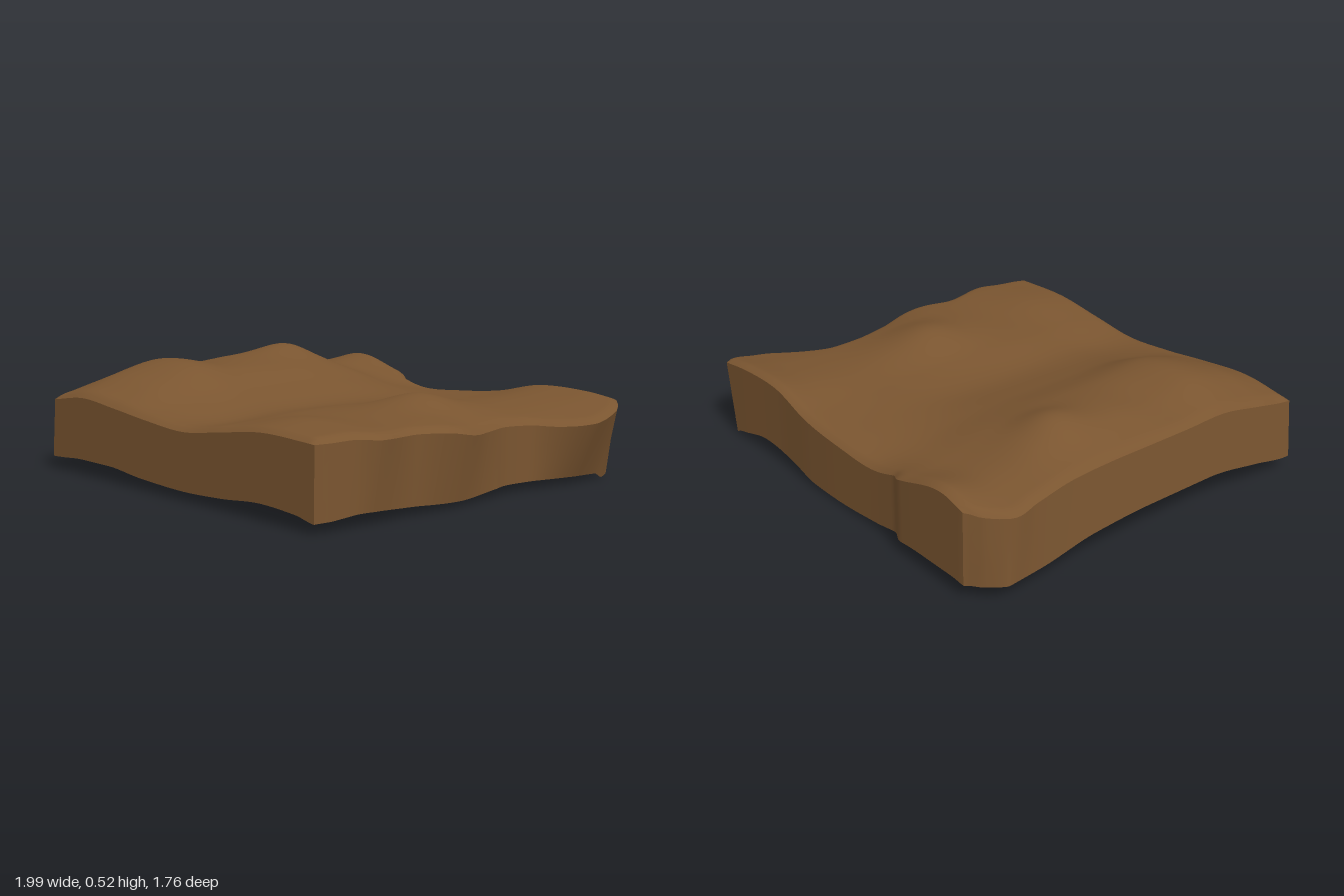
import * as THREE from 'three';

// Terrain heights on an even 9 x 9 grid: rows run back to front, columns from -x to +x
const HEIGHTS = [
  [.36, .425, .365, .29, .30, .33, .39, .39, .36],
  [.37, .39, .355, .315, .31, .32, .35, .34, .31],
  [.41, .445, .42, .36, .33, .33, .34, .32, .28],
  [.42, .48, .45, .38, .33, .34, .37, .33, .27],
  [.42, .475, .455, .38, .33, .355, .42, .35, .28],
  [.42, .46, .46, .38, .33, .36, .385, .365, .33],
  [.42, .495, .485, .38, .33, .355, .365, .36, .34],
  [.38, .445, .425, .35, .31, .35, .385, .375, .35],
  [.34, .37, .35, .325, .31, .34, .37, .365, .35],
];

// Outline of the slab: [z, x] for the two sides, [x, z] for the back
const RIGHT_EDGE = [[-.86, .91], [-.83, .94], [-.75, .98], [-.62, .995], [-.55, .97], [-.45, .91], [-.33, .84],
  [-.2, .83], [-.05, .86], [.15, .91], [.25, .9], [.4, .86], [.6, .89], [.7, .845], [.8, .83], [.88, .81]];
const LEFT_EDGE = [[-.86, -.88], [-.82, -.93], [-.7, -1], [-.6, -.985], [.7, -.98], [.88, -.975]];
const BACK_EDGE = [[-1, -.86], [-.86, -.885], [-.47, -.882], [-.38, -.845], [.2, -.855], [.5, -.845], [.87, -.85], [1, -.85]];

// Heights of the lower rim: [x, y] for front and back, [z, y] for the two sides
const FRONT_RIM = [[-1, .055], [-.75, .07], [-.55, .07], [-.3, .05], [0, .04], [.25, .05], [.5, .07], [.7, .06], [.82, .04]];
const RIGHT_RIM = [[-.86, .01], [-.8, 0], [-.74, .025], [-.5, .035], [-.2, .04], [.1, .025], [.4, .04], [.65, .055], [.88, .04]];
const BACK_RIM = [[-.95, .045], [-.8, .06], [-.6, .06], [-.4, .045], [-.25, .025], [0, .012], [.2, .018], [.35, .045],
  [.6, .07], [.8, .03], [.91, .01]];
const LEFT_RIM = [[-.88, .05], [-.6, .07], [-.3, .12], [0, .135], [.35, .135], [.65, .095], [.88, .055]];

const clamp = THREE.MathUtils.clamp;
const lerp = THREE.MathUtils.lerp;

// Smooth curve without overshoot through a list of [position, value] pairs
function sample(pairs, t) {
  const slope = (j) => (j < 0 || j > pairs.length - 2 ? 0 : (pairs[j + 1][1] - pairs[j][1]) / (pairs[j + 1][0] - pairs[j][0]));
  const tangent = (j) => {
    const s = slope(j - 1), e = slope(j);
    return s * e > 0 ? 2 * s * e / (s + e) : 0;
  };
  let i = 0;
  while (i < pairs.length - 2 && t > pairs[i + 1][0]) i++;
  const [a, va] = pairs[i], [b, vb] = pairs[i + 1];
  const k = clamp((t - a) / (b - a), 0, 1), r = 1 - k;
  return va + (vb - va) * k * k * (3 - 2 * k) + (b - a) * k * r * (r * tangent(i) - k * tangent(i + 1));
}

// Catmull-Rom reading of an evenly spaced row
function spline(row, t) {
  const n = row.length - 1, f = clamp(t, 0, 1) * n, i = Math.min(Math.floor(f), n - 1), k = f - i;
  const at = (j) => row[clamp(j, 0, n)];
  const p0 = at(i - 1), p1 = at(i), p2 = at(i + 1), p3 = at(i + 2);
  return p1 + .5 * k * (p2 - p0 + k * (2 * p0 - 5 * p1 + 4 * p2 - p3 + k * (3 * (p1 - p2) + p3 - p0)));
}

// Ground height, with a small knoll on the highest ridge
function heightAt(x, z) {
  const knoll = .045 * Math.exp(-((x + .69) ** 2 + (z + .3) ** 2) / .02);
  return spline(HEIGHTS.map((row) => spline(row, (x + 1) / 2)), (z + .88) / 1.76) + knoll;
}

// Point of the top surface, rounded off towards the rim
function topPoint(u, v) {
  const z0 = lerp(-.86, .875, v);
  const left = sample(LEFT_EDGE, z0), right = sample(RIGHT_EDGE, z0);
  const x = lerp(left, right, u);
  const z = z0 + (sample(BACK_EDGE, x) + .86) * (1 - v) ** 4;
  const d = Math.min(x - left, right - x, (1 - v) * 1.735, v * 1.735);
  return new THREE.Vector3(x, heightAt(x, z) - .02 * (1 - clamp(d / .045, 0, 1)) ** 2, z);
}

// Rim point below a point of the top edge; the +x side leans in, the -x side leans out
function rimPoint(p, rim, axis) {
  const x = p.x > .84 ? .84 + (p.x - .84) * .3 : p.x - .02 * clamp((-.9 - p.x) / .07, 0, 1);
  return new THREE.Vector3(Math.max(x, -1), sample(rim, p[axis]), p.z + (p.z > .87 ? .005 : 0));
}

// Grid of points to a smooth surface
function surface(rows) {
  const w = rows[0].length, index = [];
  for (let j = 0; j < rows.length - 1; j++) {
    for (let i = 0; i < w - 1; i++) {
      const a = j * w + i, b = a + w;
      index.push(a, b, a + 1, b, b + 1, a + 1);
    }
  }
  const geometry = new THREE.BufferGeometry().setFromPoints(rows.flat());
  geometry.setIndex(index);
  geometry.computeVertexNormals();
  return geometry;
}

export function createModel() {
  const group = new THREE.Group();
  group.name = 'terrainSlab';
  const material = new THREE.MeshStandardMaterial({ color: 0x7a5530, side: THREE.DoubleSide });
  const add = (name, geometry) => {
    const mesh = new THREE.Mesh(geometry, material);
    mesh.name = name;
    group.add(mesh);
  };

  // Rolling ground
  const N = 100, steps = Array.from({ length: N + 1 }, (_, i) => i / N);
  add('ground', surface(steps.map((v) => steps.map((u) => topPoint(u, v)))));

  // Skirt walls, open underneath
  const walls = [
    ['frontWall', (t) => topPoint(t, 1), FRONT_RIM, 'x'],
    ['leftWall', (t) => topPoint(1, 1 - t), RIGHT_RIM, 'z'],
    ['backWall', (t) => topPoint(1 - t, 0), BACK_RIM, 'x'],
    ['rightWall', (t) => topPoint(0, t), LEFT_RIM, 'z'],
  ];
  for (const [name, edge, rim, axis] of walls) {
    const top = steps.map(edge), low = top.map((p) => rimPoint(p, rim, axis));
    add(name, surface([0, .33, .67, 1].map((k) => top.map((p, i) => p.clone().lerp(low[i], k)))));
  }
  return group;
}
